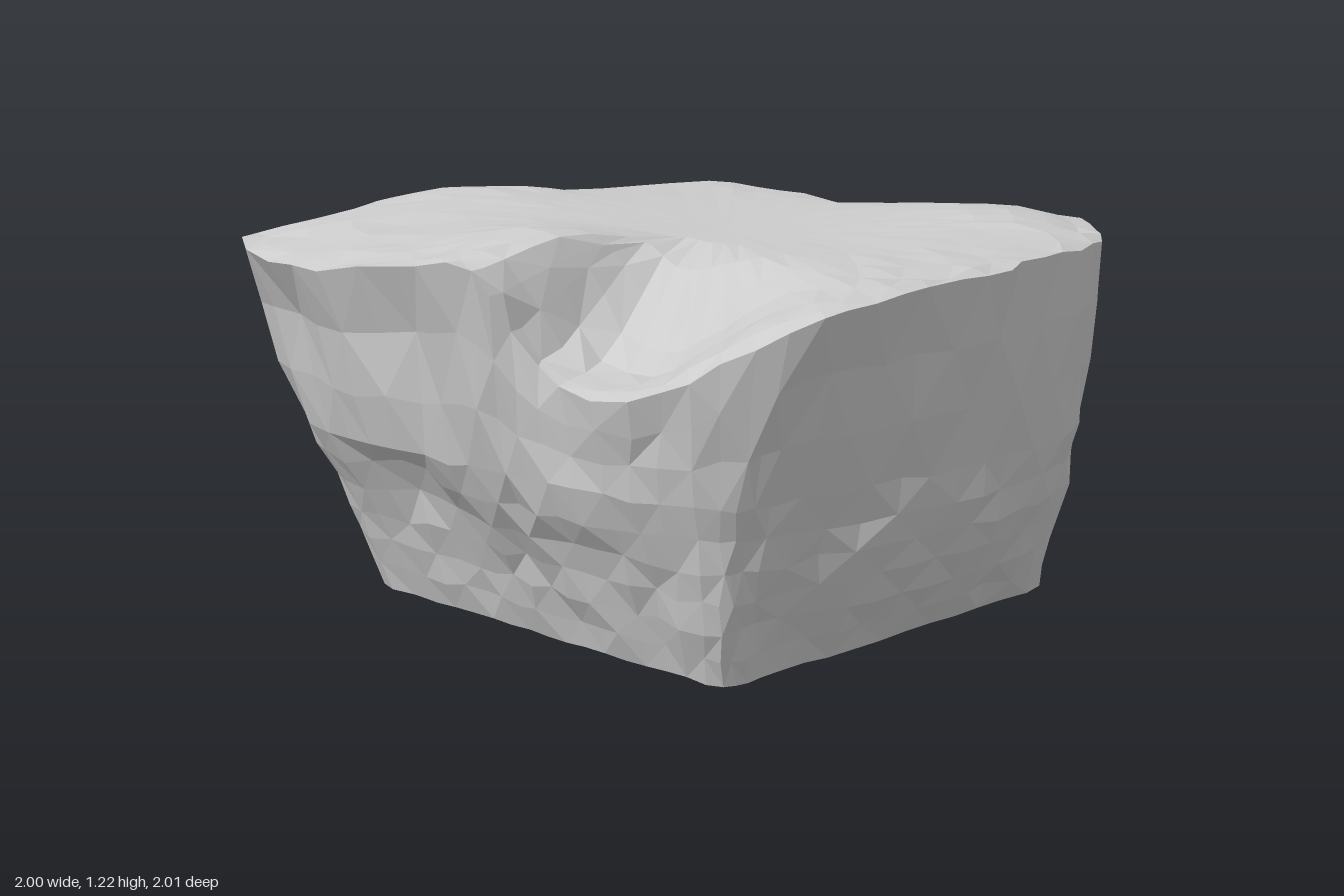
import * as THREE from 'three';

const V = (x, y, z) => new THREE.Vector3(x, y, z);
const SEG = 60; // columns around the boulder

// Cross-sections, all starting at the back-left corner and running past +x to the front
const rim = [
  [-.83, .94, -.9], [-.45, .8, -.95], [.0, .85, -.98], [.5, 1.1, -.98], [.77, 1.12, -.8],
  [.89, 1.13, -.63], [.95, 1.13, -.33], [.99, 1.14, -.05], [1, 1.14, .3], [.98, 1.12, .55],
  [.8, 1.0, .72], [.59, .89, .83], [.24, .92, .81], [.13, 1.17, .93], [-.13, 1.14, .95],
  [-.5, 1.1, 1.0], [-.9, 1.1, .84], [-.97, 1.11, .5], [-1, 1.13, .18], [-.87, 1.03, -.08]];
const waist = [
  [-.76, -.8], [-.42, -.93], [.05, -.97], [.45, -.94], [.7, -.82], [.85, -.62], [.91, -.35],
  [.92, -.05], [.87, .25], [.81, .55], [.76, .68], [.55, .77], [.27, .8], [.07, .82], [-.15, .83],
  [-.45, .83], [-.79, .74], [-.89, .45], [-.89, .15], [-.83, -.2]];
const lower = [
  [-.62, -.5], [-.36, -.75], [.08, -.85], [.42, -.86], [.66, -.78], [.8, -.6], [.85, -.35],
  [.85, -.05], [.8, .25], [.74, .53], [.72, .63], [.52, .67], [.28, .68], [.05, .68], [-.17, .68],
  [-.42, .69], [-.71, .64], [-.77, .4], [-.77, .13], [-.71, -.15]];
const base = [
  [-.5, -.3], [-.3, -.6], [.05, -.66], [.35, -.7], [.55, -.73], [.7, -.68], [.7, -.4], [.7, -.1],
  [.69, .2], [.68, .45], [.67, .57], [.48, .585], [.26, .59], [.04, .59], [-.17, .59], [-.4, .59],
  [-.64, .58], [-.62, .35], [-.58, .12], [-.55, -.08]];

const loop = pts => new THREE.CatmullRomCurve3(pts, true, 'centripetal');
const level = (pts, y) => loop(pts.map(([x, z]) => V(x, y, z)));
const step = THREE.MathUtils.smoothstep;
const bump = (p, x, z, r) => Math.exp(-((p.x - x) ** 2 + (p.z - z) ** 2) / (r * r));

// Height of the upper surface: gentle swells, a scooped back edge, a bevelled left edge
// and a broken notch at the front
function topHeight(p) {
  const notch = .27 * step(p.x, .12, .26) * step(p.z, .2, .68) * (1 - step(p.x, .4, 1));
  const scoop = .34 * step(-p.z, .64, 1) * (1 - step(p.x, .05, .5)) * (1 - .5 * step(-p.x, .5, .85));
  const bevel = .1 * step(-p.x, .6, .88) * step(-p.z, -.12, .1);
  return 1.15 + .07 * bump(p, .05, .62, .28) + .05 * bump(p, -.6, .2, .4)
    + .03 * bump(p, .55, -.65, .35) - .04 * bump(p, .02, -.72, .1) - notch - scoop - bevel;
}

// Local swells and hollows: centre, radius, offset
const dents = [
  [V(-.32, .66, .85), .17, V(0, 0, .04)],
  [V(-.32, .5, .76), .13, V(0, .04, -.05)],
  [V(-.6, .93, .92), .16, V(0, 0, -.06)],
  [V(-.15, .9, .88), .14, V(0, 0, -.04)],
  [V(.35, .35, -.86), .2, V(0, 0, .03)],
];

let seed = 7;
const rand = () => (seed = (seed * 16807) % 2147483647) / 2147483647 - .5;

function weather(p, amount) {
  const q = p.clone();
  for (const [c, r, o] of dents) q.addScaledVector(o, Math.exp(-p.distanceToSquared(c) / (r * r)));
  return q.add(V(rand(), rand(), rand()).multiplyScalar(amount));
}

function boulderGeometry() {
  const levels = [
    loop(rim.map(p => V(...p))), level(waist, .62), level(lower, .36), level(base, .12)];
  const columns = Array.from({ length: SEG }, (_, j) =>
    new THREE.CatmullRomCurve3(levels.map(l => l.getPoint(j / SEG))));
  const rings = [];

  // Upper surface, from its middle out to the rim
  const middle = V(.13, 1.15, 0);
  for (const s of [0, .22, .4, .54, .66, .77, .87, .95]) {
    rings.push(columns.map(c => {
      const r = c.getPoint(0), p = middle.clone().lerp(r, s);
      p.y = THREE.MathUtils.lerp(topHeight(p), r.y, s ** 8);
      return weather(p, .018 * s * s);
    }));
  }
  // Sides, from the rim down to the base edge
  for (let i = 0; i <= 9; i++) {
    rings.push(columns.map(c => weather(c.getPoint(i / 9), i === 9 ? .006 : .02)));
  }
  // Shallow keel underneath
  const apex = V(-.15, 0, -.05), edge = rings[rings.length - 1];
  for (const s of [.75, .55, .36, .18, 0]) {
    rings.push(edge.map(e => {
      const p = apex.clone().lerp(e, s);
      p.y = .115 * step(s, .05, .75);
      return p;
    }));
  }

  const index = [], last = rings.length - 2;
  for (let i = 0; i <= last; i++) {
    for (let j = 0; j < SEG; j++) {
      const k = (j + 1) % SEG;
      const a = i * SEG + j, b = i * SEG + k, c = a + SEG, d = b + SEG;
      if (i === 0) index.push(a, d, c);
      else if (i === last) index.push(a, b, c);
      else if ((i + j) % 2) index.push(a, b, d, a, d, c);
      else index.push(a, b, c, b, d, c);
    }
  }
  const geometry = new THREE.BufferGeometry().setFromPoints(rings.flat());
  geometry.setIndex(index);
  geometry.computeVertexNormals();
  return geometry;
}

export function createModel() {
  const group = new THREE.Group();
  group.name = 'rock';
  const boulder = new THREE.Mesh(boulderGeometry(),
    new THREE.MeshStandardMaterial({ color: 0xcccccc, flatShading: true }));
  boulder.name = 'boulder';
  group.add(boulder);
  return group;
}
